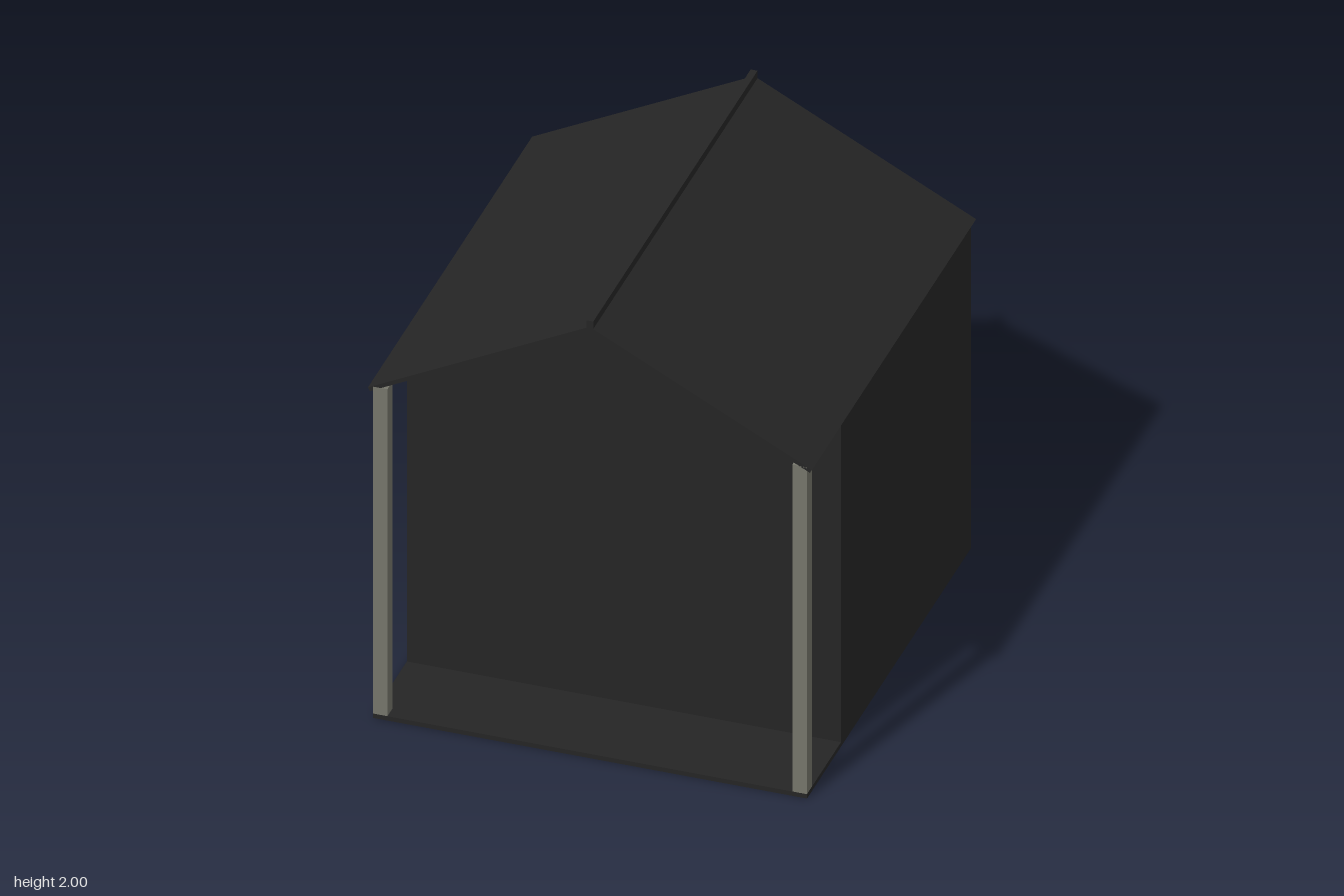
import * as THREE from 'three';

export function createModel() {
  const group = new THREE.Group();
  const darkPanel = new THREE.MeshStandardMaterial({ color: 0x252525 });
  const greyPost = new THREE.MeshStandardMaterial({ color: 0x75756a });

  const add = (name, geometry, material, x = 0, y = 0, z = 0) => {
    const mesh = new THREE.Mesh(geometry, material);
    mesh.name = name;
    mesh.position.set(x, y, z);
    group.add(mesh);
    return mesh;
  };
  // box given by its lower and upper corners
  const box = (name, material, [x0, y0, z0], [x1, y1, z1]) =>
    add(name, new THREE.BoxGeometry(x1 - x0, y1 - y0, z1 - z0), material,
      (x0 + x1) / 2, (y0 + y1) / 2, (z0 + z1) / 2);
  // outline in the xy plane pushed along z
  const slab = (name, points, z0, z1) => {
    const shape = new THREE.Shape(points.map(([x, y]) => new THREE.Vector2(x, y)));
    return add(name, new THREE.ExtrudeGeometry(shape, { depth: z1 - z0, bevelEnabled: false }),
      darkPanel, 0, 0, z0);
  };

  const W = 0.89, Z = 0.965, T = 0.015, porchZ = 0.565, eave = 1.485;

  // floor running out under the porch
  box('floor', darkPanel, [-W, 0, -Z], [W, 0.02, Z]);

  // thin gabled end walls
  const gable = [[-W, 0.02], [W, 0.02], [W, eave], [0, 1.96], [-W, eave]];
  slab('frontWall', gable, porchZ - T, porchZ);
  slab('backWall', gable, -Z, -Z + T);

  for (const [side, s] of [['left', 1], ['right', -1]]) {
    const xs = (a, b) => [s * a, s * b].sort((p, q) => p - q);

    // side wall, stopping just short of the roof
    const [w0, w1] = xs(W - T, W);
    box(side + 'Wall', darkPanel, [w0, 0.02, -Z + T], [w1, eave, porchZ - T]);

    // porch post
    const [p0, p1] = xs(W - 0.06, W);
    box(side + 'Post', greyPost, [p0, 0.02, Z - 0.06], [p1, 1.515, Z]);

    // sloping roof panel
    const panel = [[0, 1.953], [s * 0.902, 1.492], [s * 0.91, 1.507], [0, 1.973]];
    slab(side + 'Roof', panel, -Z, Z);
  }

  // ridge cap
  box('ridgeCap', darkPanel, [-0.014, 1.955, -Z], [0.014, 2, Z]);

  return group;
}
